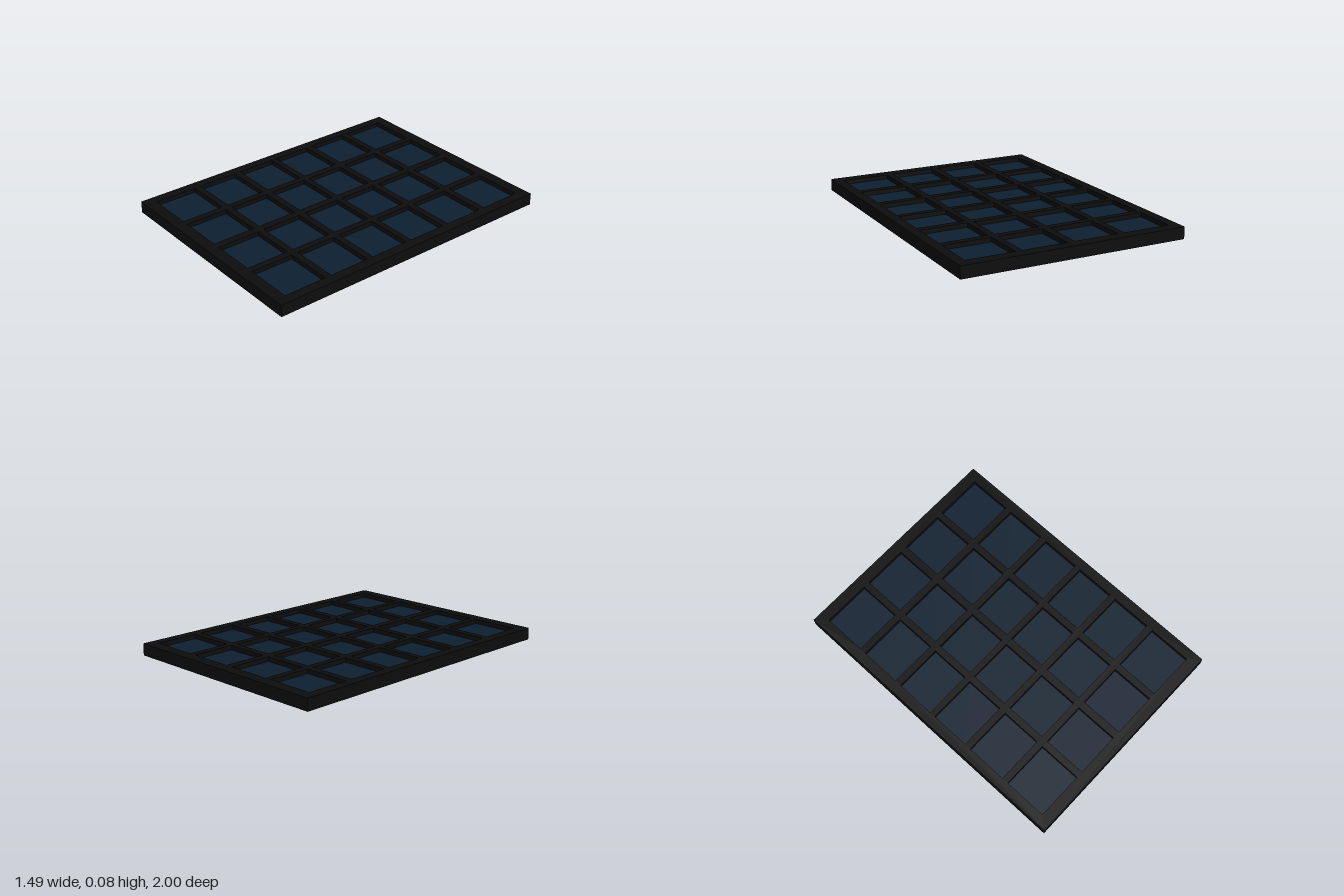
import * as THREE from 'three';

const HALF_X = 0.745, HALF_Z = 1, HEIGHT = 0.078, FLOOR = 0.046;

// Cell spans on the positive side of each axis; mirrored for the negative side
const mirrorSpans = (spans) => [...spans.map(([a, b]) => [-b, -a]), ...spans];
const COLUMNS = mirrorSpans([[0.025, 0.32], [0.365, 0.68]]);
const ROWS = mirrorSpans([[0.02, 0.28], [0.325, 0.595], [0.64, 0.925]]);

function rectangle(PathType, x0, x1, y0, y1) {
  const path = new PathType();
  path.moveTo(x0, y0);
  path.lineTo(x1, y0);
  path.lineTo(x1, y1);
  path.lineTo(x0, y1);
  path.closePath();
  return path;
}

export function createModel() {
  const panel = new THREE.Group();
  panel.name = 'solarPanel';
  const frameMaterial = new THREE.MeshStandardMaterial({ color: 0x0d0d0d });
  const cellMaterial = new THREE.MeshStandardMaterial({ color: 0x0d1f30 });

  // Solid backing slab
  const backing = new THREE.Mesh(new THREE.BoxGeometry(HALF_X * 2, FLOOR, HALF_Z * 2), frameMaterial);
  backing.name = 'backing';
  backing.position.y = FLOOR / 2;
  panel.add(backing);

  // Raised lattice with one opening per cell
  const outline = rectangle(THREE.Shape, -HALF_X, HALF_X, -HALF_Z, HALF_Z);
  for (const [x0, x1] of COLUMNS) {
    for (const [z0, z1] of ROWS) outline.holes.push(rectangle(THREE.Path, x0, x1, z0, z1));
  }
  const latticeGeometry = new THREE.ExtrudeGeometry(outline, { depth: HEIGHT - FLOOR, bevelEnabled: false });
  latticeGeometry.rotateX(-Math.PI / 2);
  const lattice = new THREE.Mesh(latticeGeometry, frameMaterial);
  lattice.name = 'frameLattice';
  lattice.position.y = FLOOR;
  panel.add(lattice);

  // Recessed blue cells
  const cells = new THREE.Group();
  cells.name = 'cells';
  for (const [x0, x1] of COLUMNS) {
    for (const [z0, z1] of ROWS) {
      const geometry = new THREE.PlaneGeometry(x1 - x0, z1 - z0).rotateX(-Math.PI / 2);
      const cell = new THREE.Mesh(geometry, cellMaterial);
      cell.name = 'cell';
      cell.position.set((x0 + x1) / 2, FLOOR + 0.003, (z0 + z1) / 2);
      cells.add(cell);
    }
  }
  panel.add(cells);
  return panel;
}
